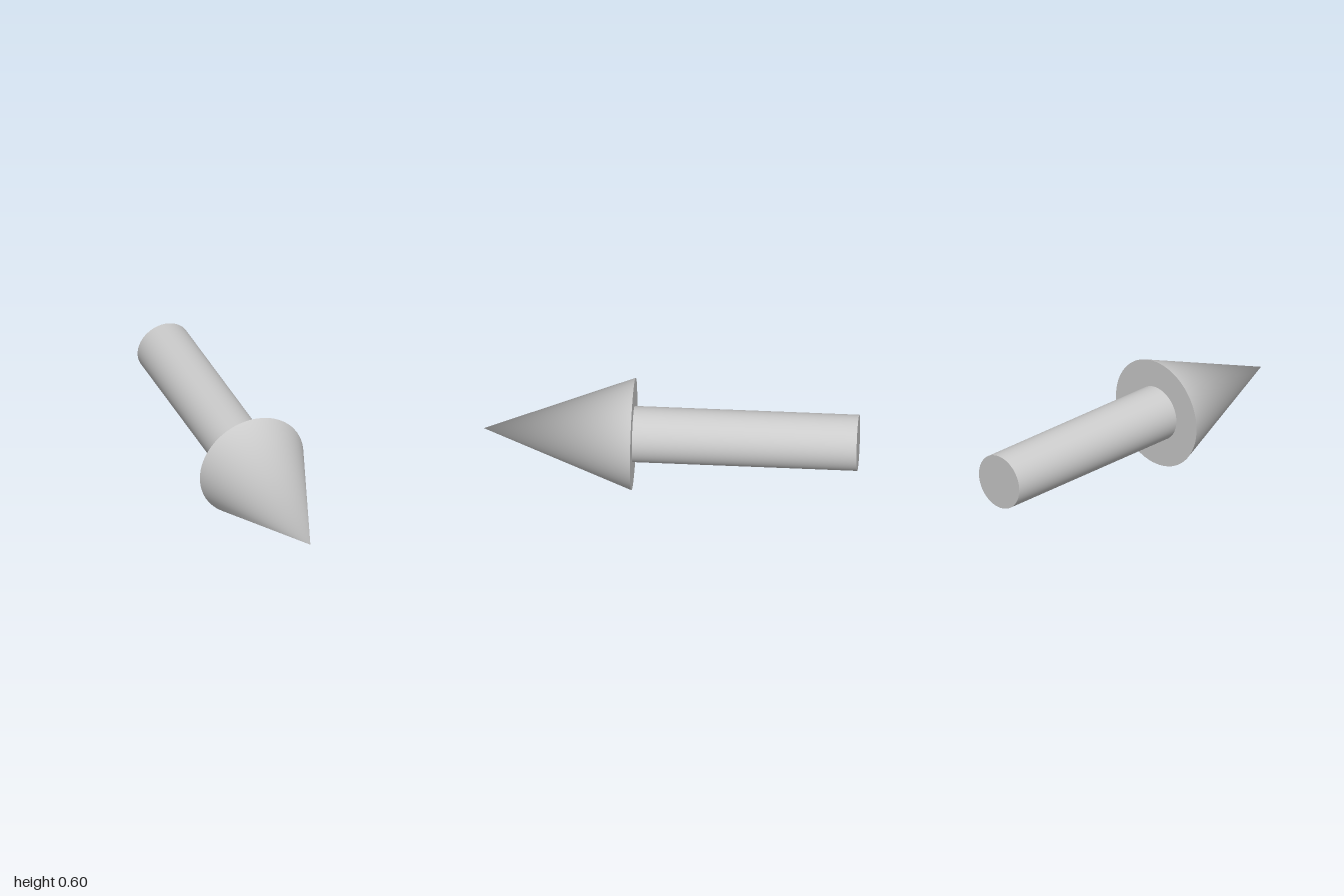
import * as THREE from 'three';

const SEGMENTS = 64;
const AXIS_Y = 0.3;

export function createModel() {
  const group = new THREE.Group();
  group.name = 'arrow';
  const material = new THREE.MeshStandardMaterial({ color: 0xcccccc });

  // Turns a y-axis solid to point along +z, centred at the given z
  const addPart = (name, geometry, z) => {
    geometry.rotateX(Math.PI / 2);
    const mesh = new THREE.Mesh(geometry, material);
    mesh.name = name;
    mesh.position.set(0, AXIS_Y, z);
    group.add(mesh);
  };

  // Pointed head; normals at the tip follow the axis for a soft, rounded shading
  const head = new THREE.ConeGeometry(0.3, 0.8, SEGMENTS);
  for (let i = 0; i <= SEGMENTS; i++) head.attributes.normal.setXYZ(i, 0, 1, 0);
  addPart('arrowHead', head, 0.6);

  // Round shaft with flat ends
  addPart('shaft', new THREE.CylinderGeometry(0.15, 0.15, 1.2, SEGMENTS), -0.4);

  return group;
}
